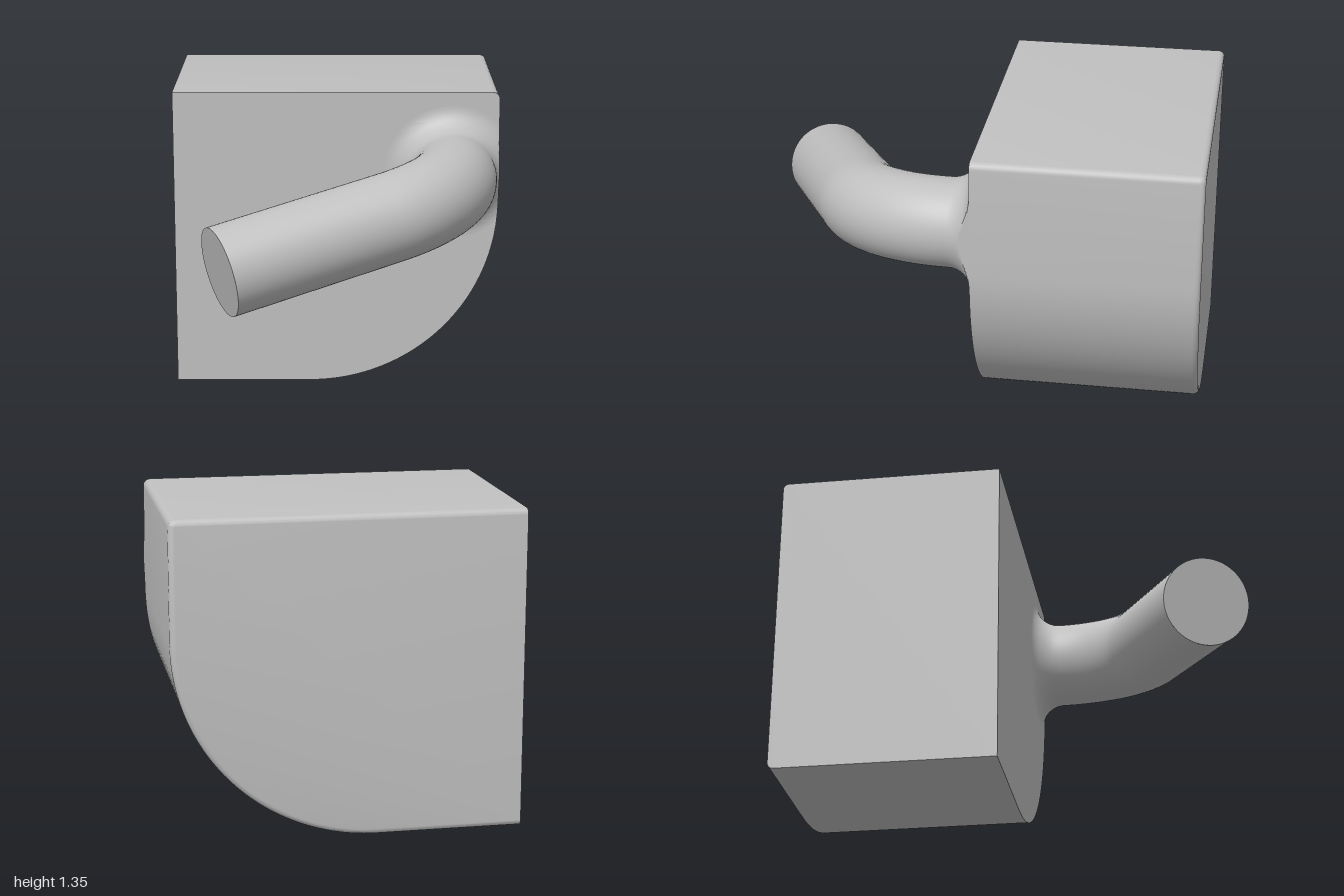
import * as THREE from 'three';
import { toCreasedNormals } from 'three/addons/utils/BufferGeometryUtils.js';

const W = 0.73, H = 1.35, BACK = -1, FRONT = -0.04;   // block extents
const ARC_X = -0.12, ARC_Y = 0.85, ARC_R = 0.85;      // big rounded lower corner
const EDGE = 0.025, CORNER = 0.03;                    // small edge roundings
const PIPE_R = 0.193, FLARE = 0.11;
const BASE = new THREE.Vector3(0.52, 0.985, FRONT);   // where the pipe leaves the block

// Block outline, anticlockwise; every edge but the left one is inset by d
function outline(d) {
  const pts = [[-W, d]];
  const arc = (cx, cy, r, a0, a1, n) => {
    for (let i = 0; i <= n; i++) {
      const a = a0 + (a1 - a0) * i / n;
      pts.push([cx + r * Math.cos(a), cy + r * Math.sin(a)]);
    }
  };
  arc(ARC_X, ARC_Y, ARC_R - d, -Math.PI / 2, 0, 48);
  arc(W - CORNER, H - CORNER, CORNER - d, 0, Math.PI / 2, 6);
  pts.push([-W, H - d]);
  return pts;
}

// Block lofted from back to front, with rounded back edges
function blockGeometry() {
  const layers = [];
  for (let i = 0; i <= 6; i++) {
    const a = i / 6 * Math.PI / 2;
    layers.push([BACK + EDGE * (1 - Math.cos(a)), EDGE * (1 - Math.sin(a))]);
  }
  layers.push([FRONT, 0]);
  const pos = [], idx = [];
  for (const [z, d] of layers) for (const [x, y] of outline(d)) pos.push(x, y, z);
  const n = outline(0).length, last = (layers.length - 1) * n;
  for (let k = 0; k < layers.length - 1; k++) {
    for (let i = 0; i < n; i++) {
      const a = k * n + i, b = k * n + (i + 1) % n;
      idx.push(a, b, b + n, a, b + n, a + n);
    }
  }
  for (let i = 1; i < n - 1; i++) {
    idx.push(0, i + 1, i);
    idx.push(last, last + i, last + i + 1);
  }
  const g = new THREE.BufferGeometry();
  g.setAttribute('position', new THREE.Float32BufferAttribute(pos, 3));
  g.setIndex(idx);
  return toCreasedNormals(g, 0.5);
}

// Pipe centre line: short straight, circular bend, long straight
const BEND_R = 0.49, BEND = 1.173, LEAD = 0.105, TAIL = 0.782;
const SIDE = new THREE.Vector3(-0.977, -0.211, 0);
class PipeCurve extends THREE.Curve {
  getPoint(t, target = new THREE.Vector3()) {
    const s = t * (LEAD + BEND_R * BEND + TAIL);
    const a = THREE.MathUtils.clamp((s - LEAD) / BEND_R, 0, BEND);
    const tail = Math.max(0, s - LEAD - BEND_R * BEND);
    const u = BEND_R * (1 - Math.cos(a)) + tail * Math.sin(a);
    const z = Math.min(s, LEAD) + BEND_R * Math.sin(a) + tail * Math.cos(a);
    return target.copy(BASE).addScaledVector(SIDE, u).add(new THREE.Vector3(0, 0, z));
  }
}

// Concave flare at the pipe root, trimmed flush with the side of the block
function flareGeometry() {
  const profile = [];
  for (let i = 0; i <= 16; i++) {
    const a = i / 16 * Math.PI / 2;
    profile.push(new THREE.Vector2(PIPE_R + FLARE * (1 - Math.sin(a)), FLARE * (1 - Math.cos(a))));
  }
  const g = new THREE.LatheGeometry(profile, 96);
  g.rotateX(Math.PI / 2).translate(BASE.x, BASE.y, BASE.z);
  const p = g.attributes.position;
  for (let i = 0; i < p.count; i++) {
    const dy = Math.min(0, p.getY(i) - ARC_Y);
    p.setX(i, Math.min(p.getX(i), W, ARC_X + Math.sqrt(ARC_R * ARC_R - dy * dy)));
  }
  return toCreasedNormals(g, 0.5);
}

export function createModel() {
  const grey = new THREE.MeshStandardMaterial({ color: 0xc0c0c0 });
  grey.name = 'plain grey';
  const model = new THREE.Group();
  model.name = 'blockWithBentPipe';
  const add = (name, geometry) => {
    const mesh = new THREE.Mesh(geometry, grey);
    mesh.name = name;
    model.add(mesh);
    return mesh;
  };

  add('block', blockGeometry());
  add('pipeRootFlare', flareGeometry());

  const curve = new PipeCurve();
  add('pipe', new THREE.TubeGeometry(curve, 96, PIPE_R, 64));

  // Flat end of the pipe
  const cap = add('pipeEnd', new THREE.CircleGeometry(PIPE_R, 64));
  const end = curve.getPoint(1);
  cap.position.copy(end);
  cap.lookAt(end.clone().add(curve.getTangent(1)));
  return model;
}
